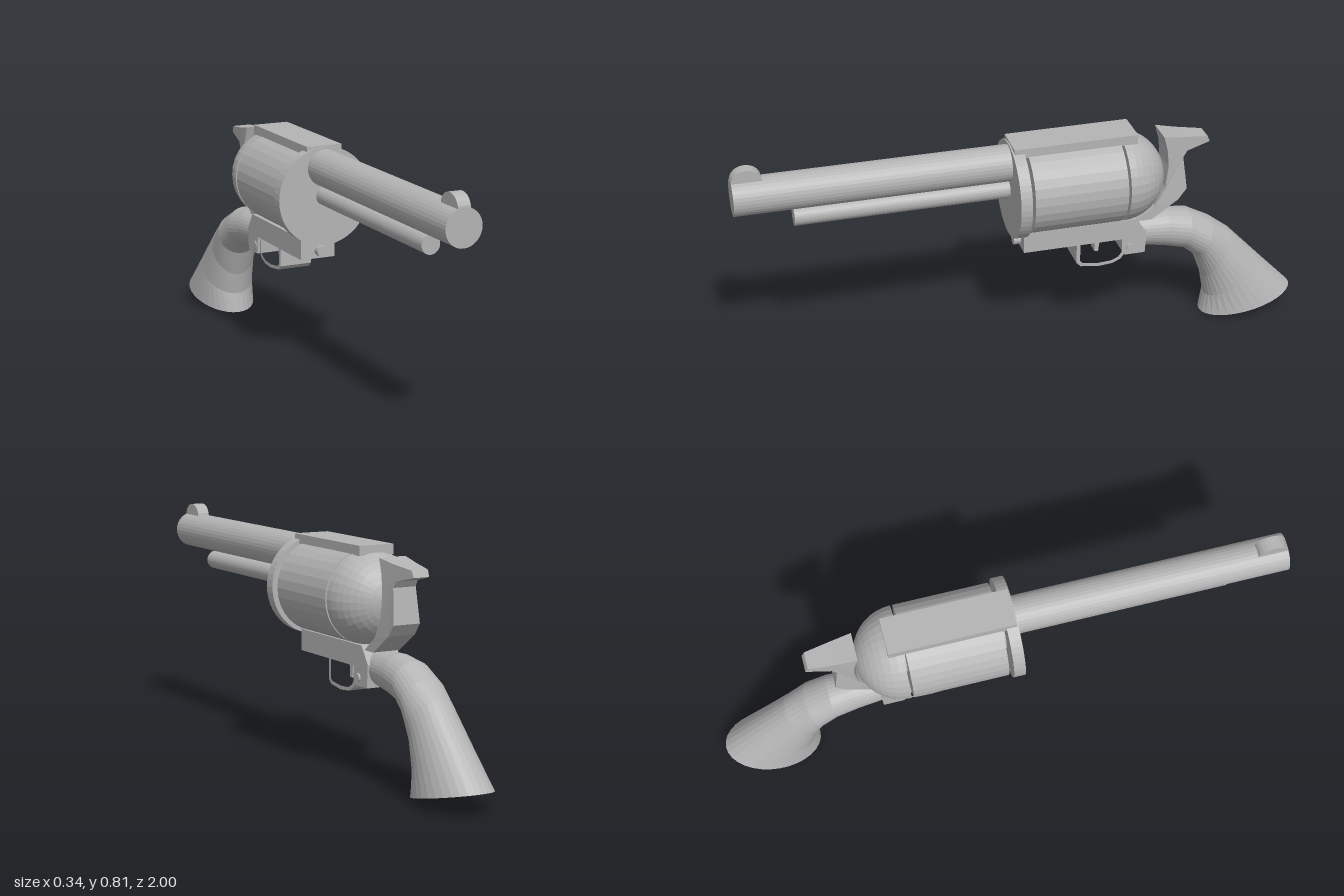
import * as THREE from 'three';

const steel = new THREE.MeshStandardMaterial({ color: 0xb4b4b4, flatShading: true });
steel.name = 'grey steel';

export function createModel() {
  const group = new THREE.Group();
  group.name = 'revolver';

  const add = (name, geometry, x = 0, y = 0, z = 0) => {
    const g = geometry.index ? geometry.toNonIndexed() : geometry;
    g.computeVertexNormals();
    const mesh = new THREE.Mesh(g, steel);
    mesh.name = name;
    mesh.position.set(x, y, z);
    group.add(mesh);
    return mesh;
  };

  // Cylinder lying along z between two depths
  const rod = (name, r, y, z0, z1, sides = 32) =>
    add(name, new THREE.CylinderGeometry(r, r, Math.abs(z1 - z0), sides).rotateX(Math.PI / 2), 0, y, (z0 + z1) / 2);

  // Side profile of [z, y] points, extruded across x
  const toPoints = (list) => list.map(([z, y]) => new THREE.Vector2(z, y));
  const slab = (profile, width, hole) => {
    const shape = new THREE.Shape(toPoints(profile));
    if (hole) shape.holes.push(new THREE.Path(toPoints(hole)));
    return new THREE.ExtrudeGeometry(shape, { depth: width, bevelEnabled: false })
      .translate(0, 0, -width / 2).rotateY(-Math.PI / 2);
  };

  // Barrel, ejector tube and front plate
  rod('barrel', 0.064, 0.708, 1, 0.03);
  rod('ejectorTube', 0.033, 0.61, 0.8, 0.03);
  rod('frontPlate', 0.172, 0.607, 0.06, 0.02, 48);
  rod('framePin', 0.02, 0.408, 0.045, 0, 20);

  // Half-round front sight
  const sight = [];
  for (let i = 0; i <= 12; i++) {
    const a = (Math.PI * i) / 12;
    sight.push([0.948 + 0.052 * Math.cos(a), 0.765 + 0.045 * Math.sin(a)]);
  }
  add('frontSight', slab([...sight, [0.896, 0.755], [1, 0.755]], 0.045));

  // Rotating cylinder on its axle, domed rear shield
  rod('cylinder', 0.16, 0.607, 0.006, -0.322);
  rod('axle', 0.07, 0.607, 0.03, -0.34);
  const dome = [new THREE.Vector2(0, 0)];
  for (let i = 0; i <= 10; i++) {
    const a = (Math.PI / 2) * (i / 10);
    dome.push(new THREE.Vector2(i === 10 ? 0 : 0.16 * Math.cos(a), 0.16 * Math.sin(a)));
  }
  add('recoilShield', new THREE.LatheGeometry(dome, 32).rotateX(-Math.PI / 2), 0, 0.607, -0.331);

  // Top strap and lower frame
  add('topStrap', new THREE.BoxGeometry(0.13, 0.034, 0.435), 0, 0.767, -0.163);
  add('lowerFrame', slab([
    [0.02, 0.455], [0.02, 0.38], [-0.34, 0.38], [-0.345, 0.317],
    [-0.42, 0.317], [-0.425, 0.395], [-0.385, 0.455],
  ], 0.13), -0.007);
  add('crossPin', new THREE.CylinderGeometry(0.015, 0.015, 0.14, 16).rotateZ(Math.PI / 2), -0.005, 0.345, -0.365);

  // Trigger guard and trigger
  add('triggerGuard', slab(
    [[-0.17, 0.39], [-0.17, 0.31], [-0.185, 0.295], [-0.25, 0.286], [-0.3, 0.29], [-0.33, 0.303], [-0.347, 0.325], [-0.347, 0.39]],
    0.12,
    [[-0.183, 0.381], [-0.183, 0.316], [-0.194, 0.306], [-0.25, 0.299], [-0.297, 0.302], [-0.322, 0.313], [-0.335, 0.33], [-0.335, 0.381]],
  ), -0.002);
  add('trigger', slab([
    [-0.23, 0.39], [-0.246, 0.36], [-0.247, 0.325], [-0.26, 0.325], [-0.265, 0.36], [-0.265, 0.39],
  ], 0.04));

  // Hammer, narrowing toward the thumb spur
  const hammer = slab([
    [-0.48, 0.755], [-0.55, 0.742], [-0.645, 0.73], [-0.655, 0.707], [-0.57, 0.687], [-0.555, 0.665],
    [-0.57, 0.545], [-0.54, 0.505], [-0.445, 0.44], [-0.39, 0.44], [-0.455, 0.49], [-0.49, 0.56],
    [-0.5, 0.64], [-0.495, 0.7],
  ], 0.1);
  const hp = hammer.attributes.position;
  for (let i = 0; i < hp.count; i++) {
    const t = THREE.MathUtils.clamp((-0.5 - hp.getZ(i)) / 0.155, 0, 1);
    if (hp.getY(i) > 0.6) hp.setX(i, hp.getX(i) * (1 - 0.42 * t));
  }
  add('hammer', hammer);

  // Grip: elliptical sections given as back z, y, front z, y, half width
  const sections = [
    [-0.38, 0.438, -0.38, 0.325, 0.058],
    [-0.52, 0.443, -0.5, 0.305, 0.068],
    [-0.6, 0.431, -0.58, 0.285, 0.076],
    [-0.685, 0.385, -0.627, 0.245, 0.083],
    [-0.76, 0.328, -0.66, 0.155, 0.083],
    [-0.87, 0.212, -0.674, 0.075, 0.096],
    [-1, 0.077, -0.66, 0.004, 0.113],
  ];
  const sides = 32;
  const pos = [];
  const idx = [];
  sections.forEach(([bz, by, fz, fy, w], i) => {
    for (let j = 0; j < sides; j++) {
      const a = (2 * Math.PI * j) / sides;
      const k = Math.cos(a) / 2;
      pos.push(w * Math.sin(a), (by + fy) / 2 + k * (by - fy), (bz + fz) / 2 + k * (bz - fz));
      const n = (j + 1) % sides;
      if (i > 0) {
        const p = (i - 1) * sides;
        const q = i * sides;
        idx.push(p + j, p + n, q + j, p + n, q + n, q + j);
      }
    }
  });
  // Flat end caps as fans
  const last = (sections.length - 1) * sides;
  for (let j = 1; j < sides - 1; j++) {
    idx.push(0, j + 1, j, last, last + j, last + j + 1);
  }
  const grip = new THREE.BufferGeometry();
  grip.setAttribute('position', new THREE.Float32BufferAttribute(pos, 3));
  grip.setIndex(idx);
  add('grip', grip, -0.009);

  return group;
}
